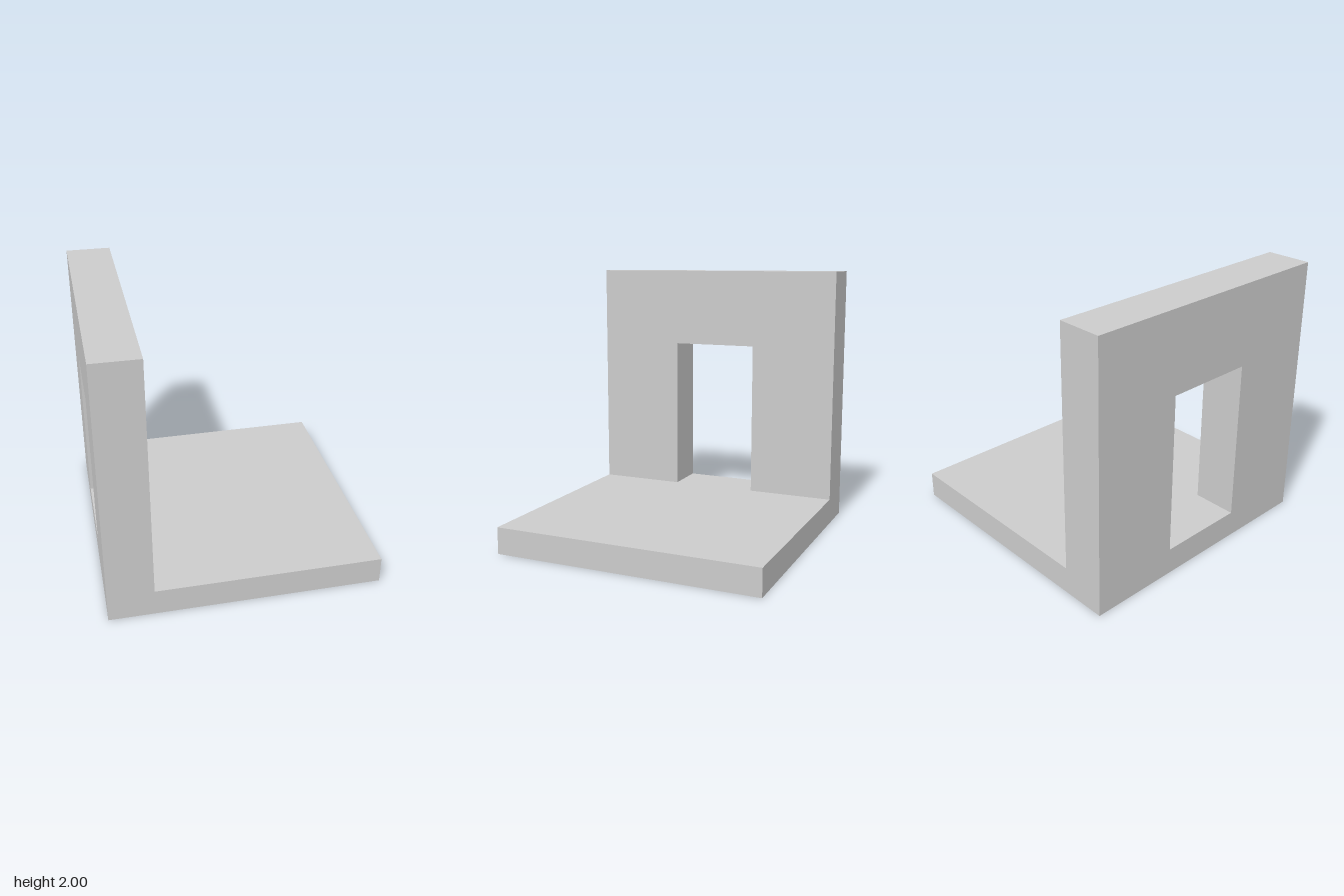
import * as THREE from 'three';

export function createModel() {
  const group = new THREE.Group();
  const material = new THREE.MeshStandardMaterial({ color: 0xcccccc, flatShading: true });

  const floorTop = 0.2;
  const wallThickness = 1 / 3;
  const doorHalf = 1 / 3;
  const doorTop = 1.4;

  // Square floor slab
  const floor = new THREE.Mesh(new THREE.BoxGeometry(2, floorTop, 2), material);
  floor.name = 'floor';
  floor.position.y = floorTop / 2;
  group.add(floor);

  // Wall standing on the floor, its outline notched by the doorway
  const outline = new THREE.Shape([
    [-1, floorTop], [-doorHalf, floorTop], [-doorHalf, doorTop], [doorHalf, doorTop],
    [doorHalf, floorTop], [1, floorTop], [1, 2], [-1, 2],
  ].map(([x, y]) => new THREE.Vector2(x, y)));
  const wallGeometry = new THREE.ExtrudeGeometry(outline, { depth: wallThickness, bevelEnabled: false });
  wallGeometry.rotateY(Math.PI / 2);
  const wall = new THREE.Mesh(wallGeometry, material);
  wall.name = 'doorwayWall';
  wall.position.x = -1;
  group.add(wall);

  return group;
}
